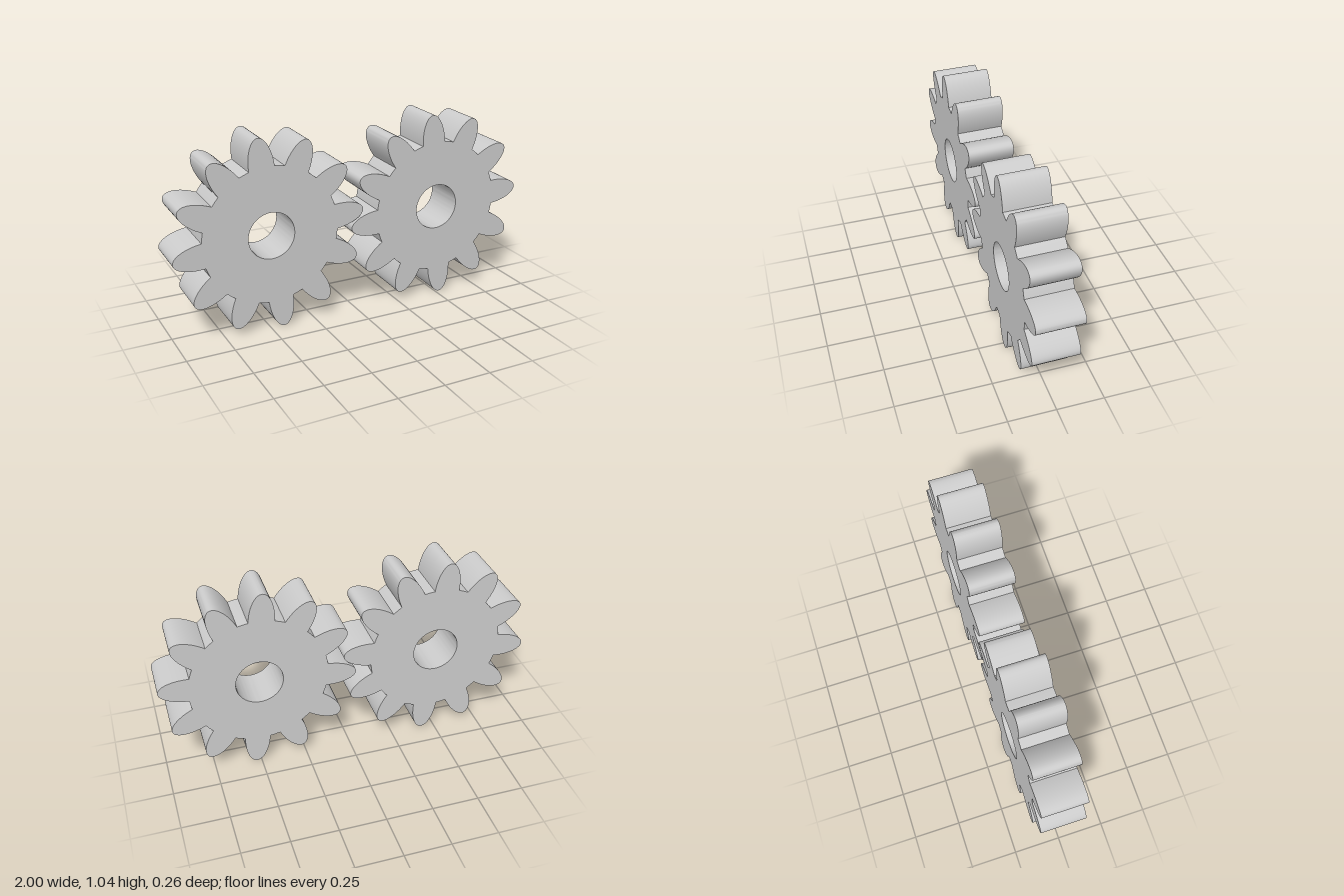
import * as THREE from 'three';
import { toCreasedNormals } from 'three/addons/utils/BufferGeometryUtils.js';

const TEETH = 12, ROOT = 0.367, TIP = 0.519, HALF_TOOTH = 0.068, BORE = 0.125, DEPTH = 0.245;

// Root circle with a half-ellipse tooth at every pitch angle and a round bore
function gearGeometry() {
  const points = [], steps = 28;
  const base = Math.sqrt(ROOT ** 2 - HALF_TOOTH ** 2);
  for (let i = 0; i < TEETH; i++) {
    const angle = (i / TEETH) * Math.PI * 2;
    for (let j = 0; j <= steps; j++) {
      const t = (j / steps - 0.5) * Math.PI;
      const p = new THREE.Vector2(base + (TIP - base) * Math.cos(t), HALF_TOOTH * Math.sin(t));
      points.push(p.rotateAround(new THREE.Vector2(), angle));
    }
    // middle of the valley between two teeth
    const mid = angle + Math.PI / TEETH;
    points.push(new THREE.Vector2(ROOT * Math.cos(mid), ROOT * Math.sin(mid)));
  }
  const shape = new THREE.Shape(points);
  shape.holes.push(new THREE.Path().absarc(0, 0, BORE, 0, Math.PI * 2, true));
  const geometry = new THREE.ExtrudeGeometry(shape, { depth: DEPTH, bevelEnabled: false, curveSegments: 48 });
  geometry.translate(0, 0, -DEPTH / 2);
  return toCreasedNormals(geometry, 0.5);
}

export function createModel() {
  const model = new THREE.Group();
  model.name = 'gearPair';
  const geometry = gearGeometry();
  const material = new THREE.MeshStandardMaterial({ color: 0xcccccc });

  // The two meshing gears, each turned to its own phase
  const addGear = (name, x, degrees) => {
    const gear = new THREE.Mesh(geometry, material);
    gear.name = name;
    gear.position.x = x;
    gear.rotation.z = THREE.MathUtils.degToRad(degrees);
    model.add(gear);
  };
  addGear('rightGear', -0.486, 7);
  addGear('leftGear', 0.482, 4.8);

  // The pair leans very slightly forward
  model.rotation.x = 0.015;
  model.position.y = 0.519;
  return model;
}
